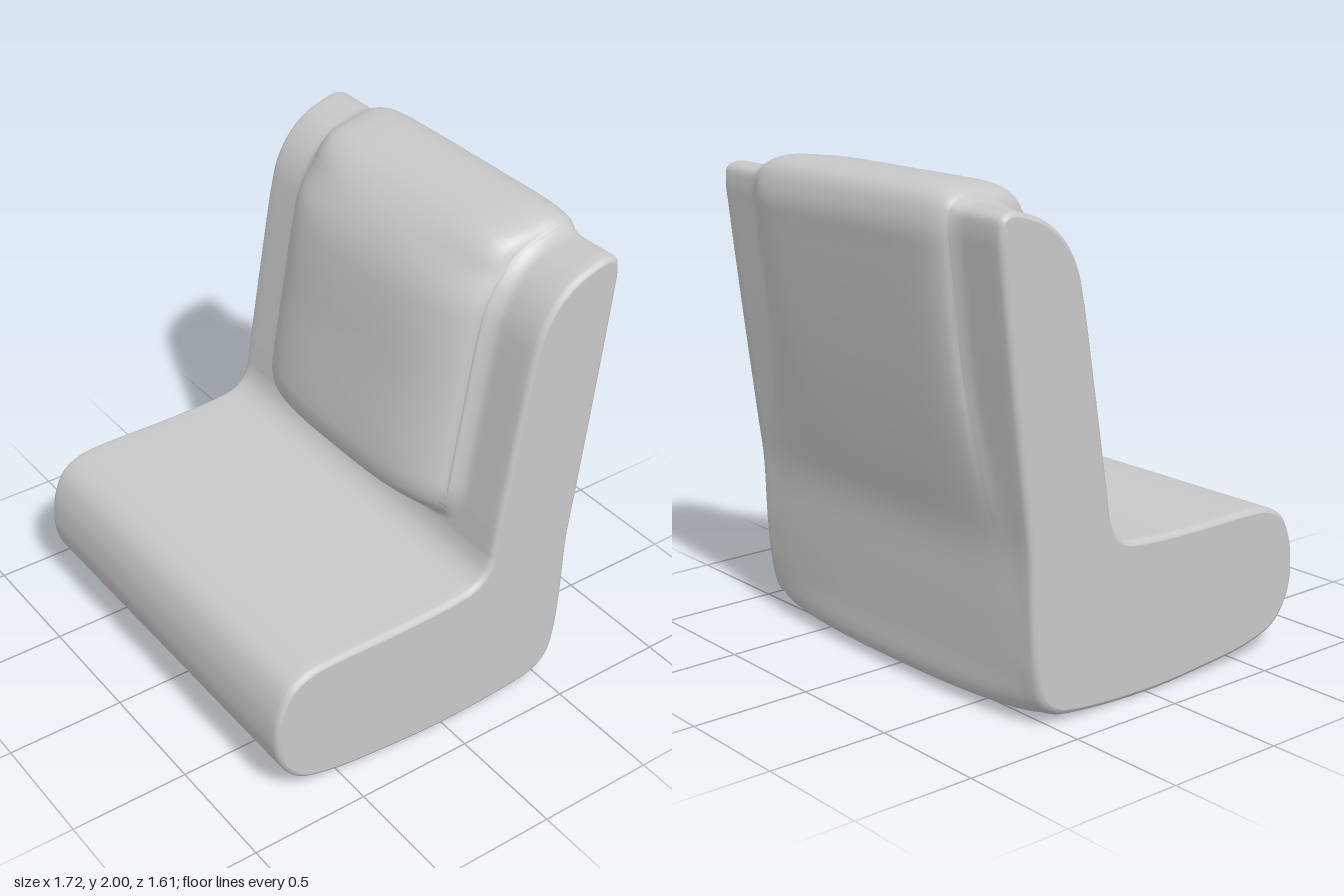
import * as THREE from 'three';

// Paired side profiles as [z, y]: the plain one at the sides, the padded one at the centre line.
// Where the second pair is missing, both are the same.
const frontAndSeat = [
  [0.805, 0.36], [0.79, 0.46], [0.74, 0.56], [0.65, 0.61], [0.55, 0.62], [0.2, 0.62],
  [-0.05, 0.63], [-0.13, 0.645], [-0.18, 0.685], [-0.205, 0.74],
];
const cushionFront = [
  [-0.212, 0.78, -0.205, 0.755], [-0.218, 0.82, -0.13, 0.80], [-0.225, 0.87, -0.07, 0.86],
  [-0.235, 0.93, -0.055, 0.93], [-0.25, 1.02, -0.063, 1.02], [-0.3, 1.32, -0.118, 1.32],
  [-0.35, 1.6, -0.165, 1.6], [-0.38, 1.71, -0.205, 1.74], [-0.44, 1.81, -0.29, 1.87],
];
const topAndUpperBack = [
  [-0.52, 1.88, -0.41, 1.96], [-0.6, 1.915, -0.55, 1.99], [-0.69, 1.935, -0.68, 1.998],
  [-0.735, 1.915, -0.765, 1.96], [-0.745, 1.86, -0.805, 1.86], [-0.735, 1.75, -0.795, 1.72],
  [-0.68, 1.28, -0.735, 1.28],
];
const lowerBack = [
  [-0.63, 0.88, -0.665, 0.88], [-0.605, 0.68, -0.62, 0.68], [-0.595, 0.4, -0.612, 0.4],
  [-0.575, 0.2, -0.605, 0.2], [-0.54, 0.1, -0.6, 0.06], [-0.47, 0.045, -0.57, 0.025],
  [-0.35, 0.02, -0.4, 0.01],
];
const underside = [[0, 0.003], [0.3, 0.02], [0.55, 0.05], [0.7, 0.1], [0.775, 0.19], [0.803, 0.28]];

const SEGMENTS = 180;
const HALF_WIDTH = 0.86;

// Each zone sets how wide the padding is and how squarely it falls off sideways.
function buildProfile() {
  const plain = [], padded = [], falloff = [];
  const add = (points, widthAt, power) => points.forEach(([z, y, z2 = z, y2 = y], i) => {
    plain.push(new THREE.Vector3(z, y, 0));
    padded.push(new THREE.Vector3(z2, y2, 0));
    falloff.push(new THREE.Vector3(widthAt(i), power, 0));
  });
  add(frontAndSeat, () => 0.56, 3.5);
  add(cushionFront, (i) => Math.min(0.6, 0.55 + i * 0.018), 3.5);
  add(topAndUpperBack, () => 0.6, 8);
  add(lowerBack, (i) => Math.min(0.82, 0.66 + i * 0.05), 2.5);
  add(underside, () => 0.8, 2.5);
  const sample = (pts, type) => {
    const curve = new THREE.CatmullRomCurve3(pts, true, type);
    return Array.from({ length: SEGMENTS }, (_, j) => curve.getPoint(j / SEGMENTS));
  };
  return {
    plain: sample(plain, 'centripetal'),
    padded: sample(padded, 'centripetal'),
    falloff: sample(falloff, 'catmullrom'),
  };
}

// Cross-section at x, with an optional inset for the rounded side edges
function sectionAt({ plain, padded, falloff }, x, inset) {
  const ax = Math.abs(x);
  return plain.map((p, j) => {
    const { x: width, y: power } = falloff[j];
    const crown = Math.sqrt(Math.max(0, 1 - Math.pow(ax / width, power)));
    const fillet = 0.25 * THREE.MathUtils.clamp(1 - (ax - width) / 0.06, 0, 1) ** 2;
    const q = p.clone().lerp(padded[j], Math.max(crown, fillet));
    const a = plain[(j + SEGMENTS - 1) % SEGMENTS], b = plain[(j + 1) % SEGMENTS];
    const t = b.clone().sub(a).normalize();
    return new THREE.Vector2(q.x - t.y * inset, q.y + t.x * inset);
  });
}

// Skin through all cross-sections from right to left
function loft(profile, stations) {
  const positions = [], index = [];
  stations.forEach(([x, inset], i) => {
    sectionAt(profile, x, inset).forEach((p, j) => {
      positions.push(x, p.y, p.x);
      if (i === stations.length - 1) return;
      const k = (j + 1) % SEGMENTS;
      const a = i * SEGMENTS + j, b = a + SEGMENTS, c = i * SEGMENTS + k, d = c + SEGMENTS;
      index.push(a, b, c, b, d, c);
    });
  });
  const geometry = new THREE.BufferGeometry();
  geometry.setAttribute('position', new THREE.Float32BufferAttribute(positions, 3));
  geometry.setIndex(index);
  geometry.computeVertexNormals();
  return geometry;
}

export function createModel() {
  const group = new THREE.Group();
  group.name = 'paddedSeat';
  const upholstery = new THREE.MeshStandardMaterial({ color: 0xc8c8c8 });
  upholstery.name = 'lightGreyUpholstery';

  // Seat, backrest and raised cushion in one continuous skin
  const profile = buildProfile();
  const half = [
    [0.1, 0], [0.2, 0], [0.3, 0], [0.38, 0], [0.44, 0], [0.48, 0], [0.51, 0], [0.53, 0], [0.55, 0],
    [0.56, 0], [0.57, 0], [0.58, 0], [0.59, 0], [0.595, 0], [0.6, 0], [0.605, 0], [0.61, 0],
    [0.62, 0], [0.635, 0], [0.65, 0], [0.67, 0], [0.7, 0], [0.76, 0], [0.8, 0],
    [0.835, 0], [0.848, 0.004], [0.856, 0.011], [HALF_WIDTH, 0.02],
  ];
  const stations = [...half.map(([x, d]) => [-x, d]).reverse(), [0, 0], ...half];
  const body = new THREE.Mesh(loft(profile, stations), upholstery);
  body.name = 'seatAndBackrest';
  group.add(body);

  // Flat side panels
  const outline = sectionAt(profile, HALF_WIDTH, 0.02);
  for (const side of [-1, 1]) {
    const shape = new THREE.Shape(outline.map((p) => new THREE.Vector2(-side * p.x, p.y)));
    const panel = new THREE.Mesh(new THREE.ShapeGeometry(shape), upholstery);
    panel.name = side > 0 ? 'leftSidePanel' : 'rightSidePanel';
    panel.rotation.y = side * Math.PI / 2;
    panel.position.x = side * HALF_WIDTH;
    group.add(panel);
  }
  return group;
}
